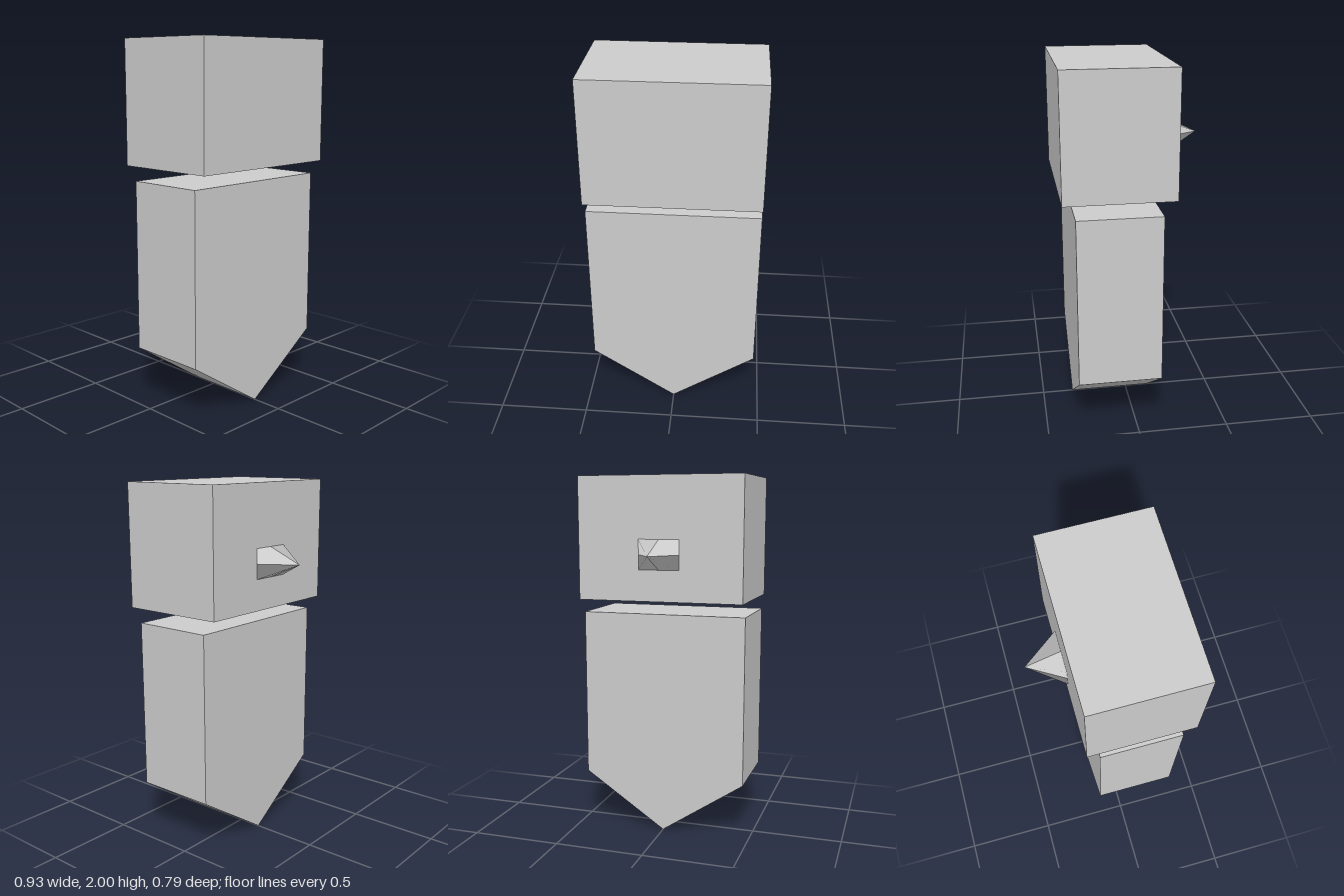
import * as THREE from 'three';

const grey = new THREE.MeshStandardMaterial({ color: 0xcccccc });
grey.name = 'light grey';

function part(name, geometry) {
  const mesh = new THREE.Mesh(geometry, grey);
  mesh.name = name;
  return mesh;
}

// Four-cornered spike pointing to -z, each quadrant with one shared normal
function spikeGeometry(a, b, h) {
  const positions = [], normals = [];
  for (const [sx, sy] of [[1, 1], [-1, 1], [-1, -1], [1, -1]]) {
    const apex = [0, 0, -h];
    const corner = [sx * a, sy * b, 0];
    const side = [sx * a, 0, 0];
    const end = [0, sy * b, 0];
    const n = new THREE.Vector3(sx * h * b, sy * h * a, -2 * a * b).normalize();
    const tris = sx * sy > 0
      ? [apex, corner, side, apex, end, corner]
      : [apex, side, corner, apex, corner, end];
    for (const p of tris) {
      positions.push(...p);
      normals.push(n.x, n.y, n.z);
    }
  }
  const g = new THREE.BufferGeometry();
  g.setAttribute('position', new THREE.Float32BufferAttribute(positions, 3));
  g.setAttribute('normal', new THREE.Float32BufferAttribute(normals, 3));
  return g;
}

export function createModel() {
  const group = new THREE.Group();
  group.name = 'model';
  const w = 0.463;

  // Head block
  const head = part('head', new THREE.BoxGeometry(2 * w, 0.673, 0.594));
  head.position.set(0, 1.6635, 0.096);
  group.add(head);

  // Body slab tapering to a point at the bottom
  const outline = new THREE.Shape([
    [0, 0], [w, 0.31], [w, 1.25], [-w, 1.25], [-w, 0.31],
  ].map(([x, y]) => new THREE.Vector2(x, y)));
  const body = part('body', new THREE.ExtrudeGeometry(outline, { depth: 0.456, bevelEnabled: false }));
  body.position.z = -0.13;
  group.add(body);

  // Spike on the back of the head
  const spike = part('spike', spikeGeometry(0.115, 0.082, 0.192));
  spike.position.set(0, 1.58, -0.201);
  group.add(spike);

  return group;
}
